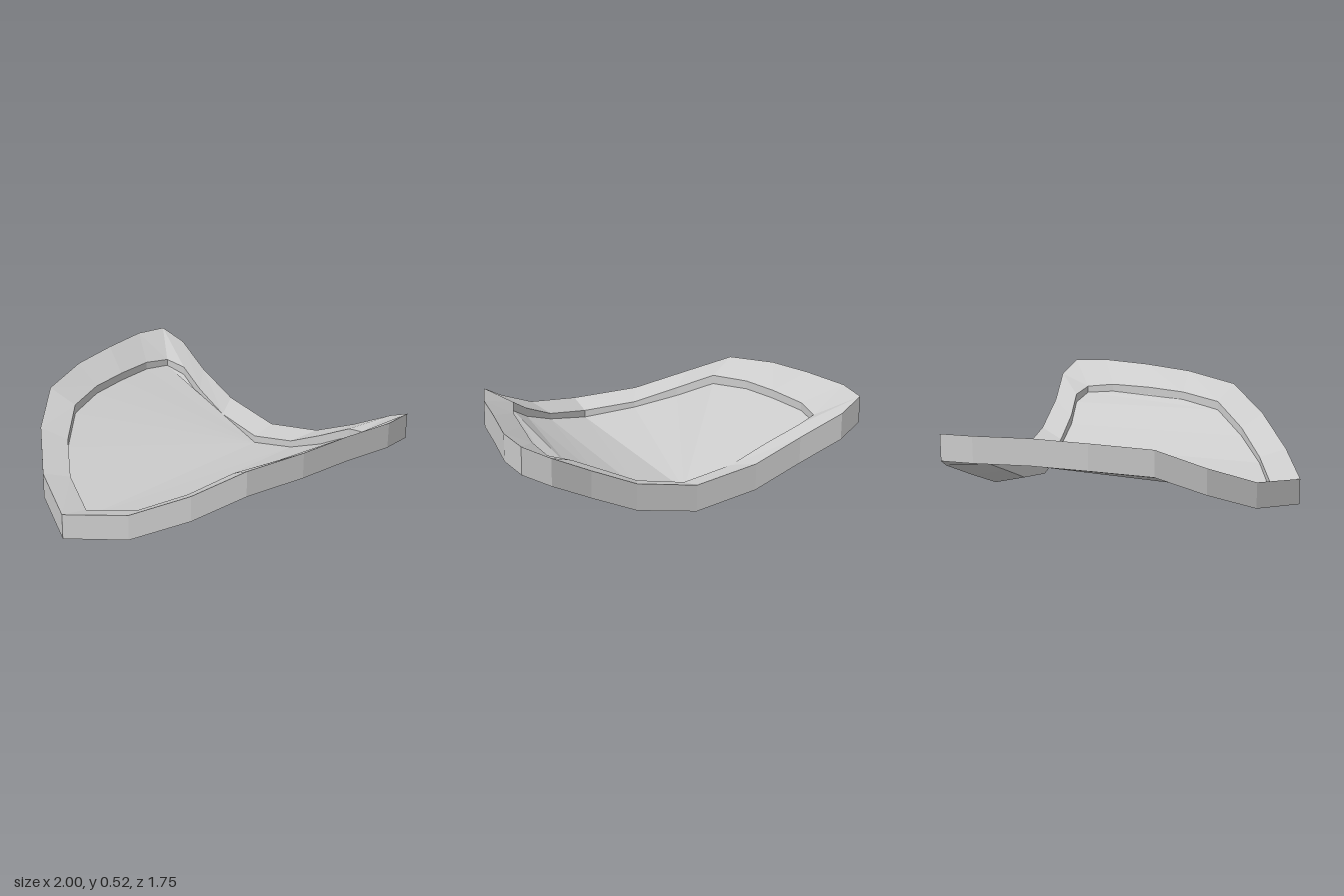
import * as THREE from 'three';

// Half outline from back centre to front tip:
// outer x, z, bottom y, then inner x, z, bottom y, panel y
const HALF = [
  [0, -0.813, 0, 0, -0.663, 0.033, 0.07],
  [0.35, -0.82, 0.067, 0.28, -0.67, 0.09, 0.13],
  [0.61, -0.835, 0.184, 0.49, -0.683, 0.19, 0.215],
  [0.84, -0.878, 0.3, 0.67, -0.718, 0.28, 0.31],
  [0.98, -0.835, 0.367, 0.785, -0.683, 0.31, 0.35],
  [1.0, -0.64, 0.377, 0.805, -0.52, 0.33, 0.365],
  [0.95, -0.34, 0.377, 0.77, -0.27, 0.337, 0.37],
  [0.9, -0.04, 0.363, 0.73, -0.03, 0.333, 0.365],
  [0.79, 0.28, 0.328, 0.64, 0.22, 0.312, 0.34],
  [0.61, 0.51, 0.2, 0.49, 0.41, 0.2, 0.23],
  [0.35, 0.715, 0.067, 0.28, 0.575, 0.09, 0.135],
  [0, 0.877, 0, 0, 0.705, 0.033, 0.07],
];
const OUTER_HEIGHT = 0.148;
const INNER_HEIGHT = 0.08;

function makeMesh(name, positions, indices, side) {
  const indexed = new THREE.BufferGeometry();
  indexed.setAttribute('position', new THREE.Float32BufferAttribute(positions, 3));
  indexed.setIndex(indices);
  const geometry = indexed.toNonIndexed();
  geometry.computeVertexNormals();
  const material = new THREE.MeshStandardMaterial({ color: 0xcccccc, flatShading: true, side });
  const mesh = new THREE.Mesh(geometry, material);
  mesh.name = name;
  return mesh;
}

// Full closed outline, the second half mirrored in x
function fullOutline() {
  const mirrored = HALF.slice(1, -1).reverse()
    .map(([ox, oz, oy, ix, iz, iy, py]) => [-ox, oz, oy, -ix, iz, iy, py]);
  return [...HALF, ...mirrored];
}

// Rim: a four-sided section, taller on the outside, carried round the outline
function makeRim(outline) {
  const positions = [];
  const indices = [];
  for (const [ox, oz, oy, ix, iz, iy] of outline) {
    positions.push(ox, oy, oz, ox, oy + OUTER_HEIGHT, oz);
    positions.push(ix, iy + INNER_HEIGHT, iz, ix, iy, iz);
  }
  const n = outline.length;
  for (let i = 0; i < n; i++) {
    const a = i * 4;
    const b = ((i + 1) % n) * 4;
    for (let k = 0; k < 4; k++) {
      const m = (k + 1) % 4;
      indices.push(a + k, a + m, b + m, a + k, b + m, b + k);
    }
  }
  return makeMesh('rim', positions, indices, THREE.FrontSide);
}

// Panel: a thin sheet folded along the centre line
function makePanel(outline) {
  const positions = outline.flatMap((p) => [p[3], p[6], p[4]]);
  const indices = [];
  const tip = HALF.length - 1;
  // Left half: strips running from back edge to front edge
  for (let i = 0; i < 5; i++) {
    const f = tip - i;
    indices.push(i, f, i + 1, i + 1, f, f - 1);
  }
  // Right half: a fan from the back centre to the back corner
  const corner = 2 * tip - 4;
  for (let k = tip; k < corner; k++) indices.push(0, k + 1, k);
  // Narrow triangles along the right back edge
  indices.push(corner, corner + 2, corner + 1);
  indices.push(0, corner + 2, corner, 0, corner + 3, corner + 2);
  return makeMesh('foldedPanel', positions, indices, THREE.DoubleSide);
}

export function createModel() {
  const group = new THREE.Group();
  group.name = 'shield';
  const outline = fullOutline();
  group.add(makeRim(outline), makePanel(outline));
  return group;
}
